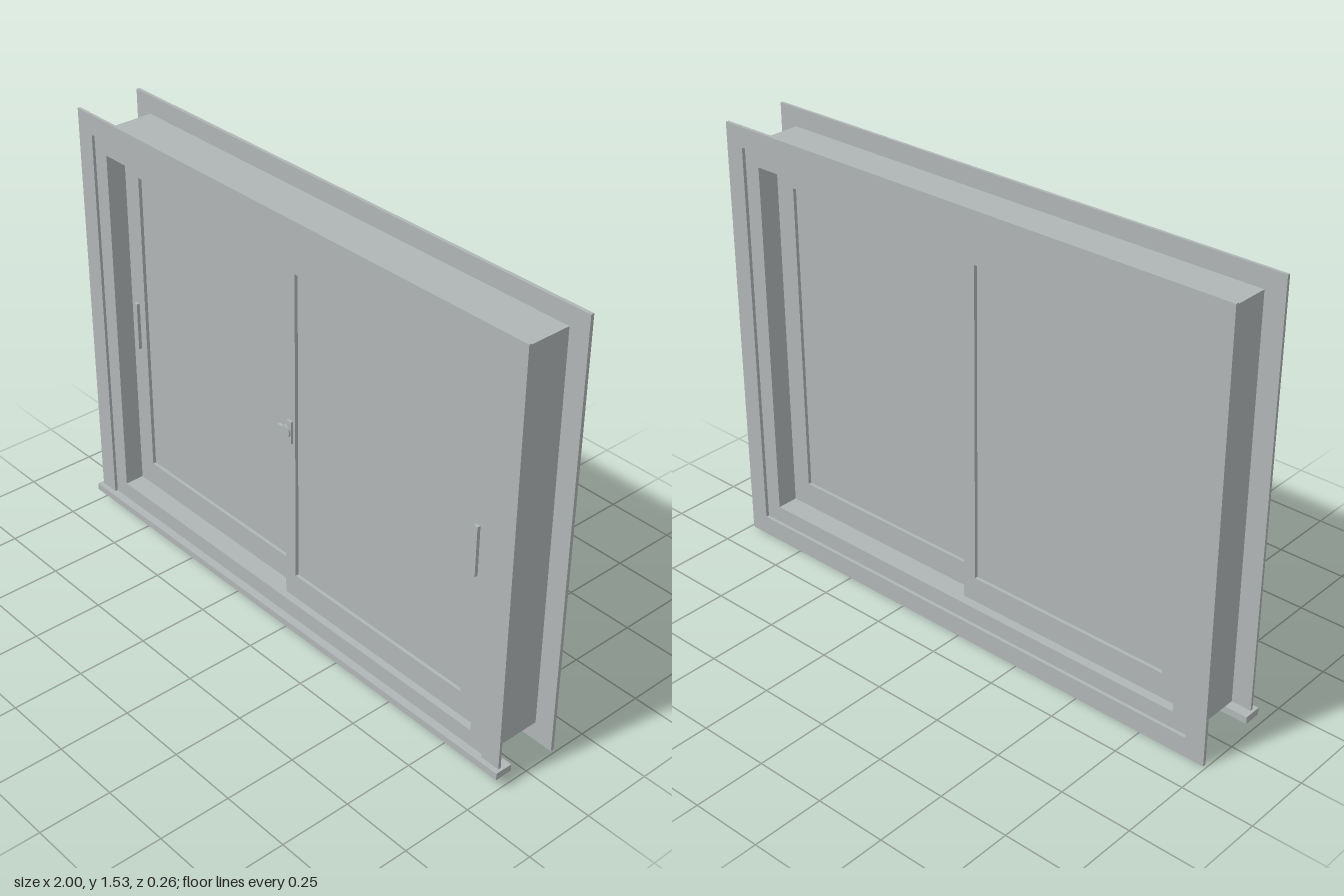
import * as THREE from 'three';

export function createModel() {
  const group = new THREE.Group();
  const grey = new THREE.MeshStandardMaterial({ color: 0xb0b5b5 });
  grey.name = 'painted grey';

  const add = (name, geometry, parent = group) => {
    const mesh = new THREE.Mesh(geometry, grey);
    mesh.name = name;
    parent.add(mesh);
    return mesh;
  };
  // Box given by its limits on each axis
  const box = (name, x0, x1, y0, y1, z0, z1, parent) => {
    const mesh = add(name, new THREE.BoxGeometry(x1 - x0, y1 - y0, z1 - z0), parent);
    mesh.position.set((x0 + x1) / 2, (y0 + y1) / 2, (z0 + z1) / 2);
    return mesh;
  };
  // Flat board cut to an outline
  const board = (name, points, z0, z1, parent) => {
    const shape = new THREE.Shape(points.map(([x, y]) => new THREE.Vector2(x, y)));
    const geometry = new THREE.ExtrudeGeometry(shape, { depth: z1 - z0, bevelEnabled: false });
    add(name, geometry, parent).position.z = z0;
  };
  const subgroup = (name) => {
    const g = new THREE.Group();
    g.name = name;
    group.add(g);
    return g;
  };

  // Deep box frame set in the wall
  const frame = subgroup('boxFrame');
  for (const s of [-1, 1]) box('jamb', s * 0.89 - 0.03, s * 0.89 + 0.03, 0.07, 1.465, -0.12, 0.105, frame);
  box('head', -0.86, 0.86, 1.405, 1.465, -0.12, 0.105, frame);
  box('bottomRail', -0.86, 0.86, 0.07, 0.13, -0.12, 0.105, frame);

  // Mitred casings; the front one stands on the sill
  const casing = (name, z0, z1, full) => {
    const g = subgroup(name);
    const foot = full ? 0 : 0.07;
    for (const s of [-1, 1]) {
      board('sideCasing', [[s * 0.99, foot], [s * 0.99, 1.53], [s * 0.92, 1.46], [s * 0.92, 0.07]], z0, z1, g);
    }
    board('topCasing', [[-0.99, 1.53], [0.99, 1.53], [0.92, 1.46], [-0.92, 1.46]], z0, z1, g);
    if (full) board('bottomCasing', [[-0.99, 0], [0.99, 0], [0.92, 0.07], [-0.92, 0.07]], z0, z1, g);
  };
  casing('frontCasing', 0.105, 0.115, false);
  casing('backCasing', -0.132, -0.12, true);
  box('sill', -1, 1, 0.045, 0.07, 0.07, 0.133);

  // Sliding sashes on two tracks, each a frame around a pane
  const sash = (name, x0, x1, px0, px1, z0, z1) => {
    const g = subgroup(name);
    const [y0, y1, py0, py1] = [0.13, 1.405, 0.22, 1.33];
    box('stile', x0, px0, y0, y1, z0, z1, g);
    box('stile', px1, x1, y0, y1, z0, z1, g);
    box('topRail', px0, px1, py1, y1, z0, z1, g);
    box('lowerRail', px0, px1, y0, py0, z0, z1, g);
    box('pane', px0, px1, py0, py1, z0 + 0.012, z1 - 0.012, g);
  };
  sash('rearSash', -0.86, 0.012, -0.79, -0.036, -0.088, 0.035);
  sash('frontSash', -0.016, 0.86, 0.032, 0.787, -0.043, 0.08);

  // Slim pulls on the outer stiles
  box('pullHandle', -0.835, -0.82, 0.68, 0.855, 0.035, 0.047);
  box('pullHandle', 0.812, 0.828, 0.68, 0.855, 0.08, 0.092);

  // Latch at the meeting stiles
  const latch = subgroup('latch');
  box('latchPlate', 0, 0.022, 0.73, 0.81, 0.08, 0.088, latch);
  const knob = add('latchKnob', new THREE.CylinderGeometry(0.02, 0.02, 0.014, 16), latch);
  knob.rotation.x = Math.PI / 2;
  knob.position.set(0, 0.77, 0.088);
  box('latchLever', -0.038, 0, 0.76, 0.78, 0.083, 0.093, latch);

  return group;
}
